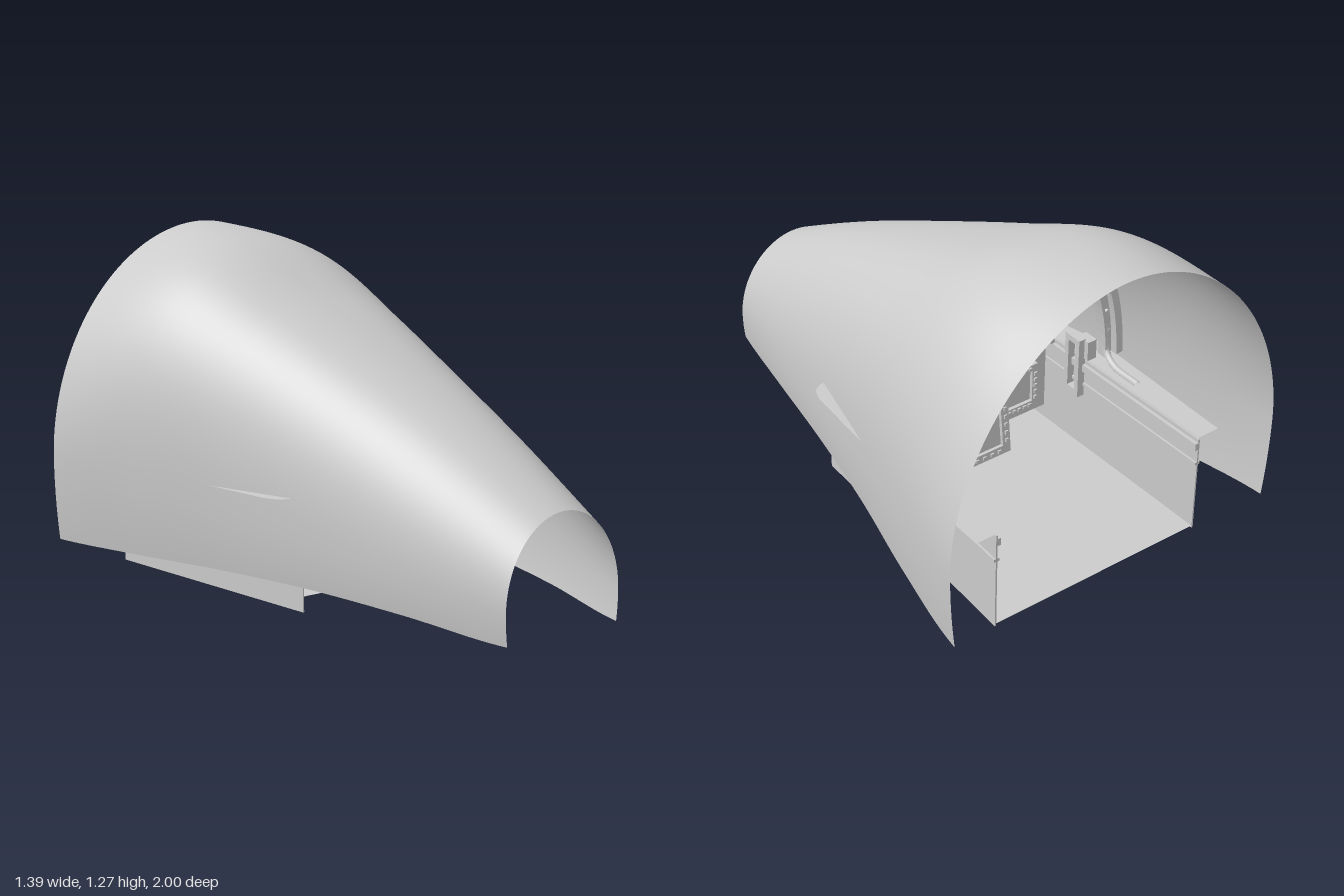
import * as THREE from 'three';
import { ParametricGeometry } from 'three/addons/geometries/ParametricGeometry.js';

const grey = new THREE.MeshStandardMaterial({ color: 0xcccccc, side: THREE.DoubleSide });

function add(parent, name, geometry, x = 0, y = 0, z = 0) {
  const mesh = new THREE.Mesh(geometry, grey);
  mesh.name = name;
  mesh.position.set(x, y, z);
  parent.add(mesh);
  return mesh;
}
const box = (parent, name, w, h, d, x, y, z) => add(parent, name, new THREE.BoxGeometry(w, h, d), x, y, z);

function group(parent, name, x = 0, y = 0, z = 0) {
  const g = new THREE.Group();
  g.name = name;
  g.position.set(x, y, z);
  parent.add(g);
  return g;
}

function extrude(points, depth, holes = []) {
  const shape = new THREE.Shape(points);
  holes.forEach((h) => shape.holes.push(new THREE.Path(h)));
  return new THREE.ExtrudeGeometry(shape, { depth, bevelEnabled: false });
}
const V = (x, y) => new THREE.Vector2(x, y);

// Thin horizontal sheet from a plan outline given as x, z
function sheet(parent, name, plan, y) {
  const mesh = add(parent, name, new THREE.ShapeGeometry(new THREE.Shape(plan.map((p) => V(p.x, -p.y)))), 0, y, 0);
  mesh.rotation.x = -Math.PI / 2;
}

// Hull dimensions at even stations; the first value lies one step ahead of the nose and only sets the slope
function track(values) {
  const curve = new THREE.SplineCurve(values.map((v, i) => V(i, v)));
  return (s) => curve.getPoint((1 + 5 * s) / 6).y;
}
const halfWidth = track([0.17, 0.26, 0.35, 0.43, 0.515, 0.615, 0.695]);
const crown = track([0.21, 0.447, 0.665, 0.855, 1.035, 1.21, 1.27]);
const sill = track([0.05, 0.033, 0.07, 0.093, 0.1, 0.1, 0.1]);
const waist = track([0.08, 0.14, 0.2, 0.26, 0.32, 0.38, 0.42]);
const fullness = track([1.9, 2, 2.15, 2.35, 2.5, 2.35, 1.93]);

// Superelliptic roof of the hull at station s and angle a, moved inwards by inset
function roofPoint(s, a, inset = 0) {
  const e = 2 / fullness(s), c = Math.cos(a), mid = waist(s);
  return V(Math.sign(c) * Math.abs(c) ** e * (halfWidth(s) - inset),
    mid + Math.max(Math.sin(a), 0) ** e * (crown(s) - mid - inset));
}

// Point on the hull section: t runs from the right sill over the crown to the left sill
function hullPoint(s, t) {
  const skirt = 0.15;
  if (t < skirt || t > 1 - skirt) {
    const k = 1 - Math.min(t, 1 - t) / skirt, mid = waist(s);
    return V((t < 0.5 ? -1 : 1) * halfWidth(s) * (1 - 0.028 * k * k), mid - (mid - sill(s)) * k);
  }
  return roofPoint(s, Math.PI * (1 - (t - skirt) / (1 - 2 * skirt)));
}

// Raised bezel frame, recessed screen and a row of keys along each edge
function display(parent, name, w, h, x, y, z) {
  const g = group(parent, name, x, y, z);
  const rect = (a, b) => [V(-a, -b), V(a, -b), V(a, b), V(-a, b)];
  add(g, 'bezel', extrude(rect(w / 2, h / 2), 0.025, [rect(w * 0.36, h * 0.36)]), 0, 0, -0.025);
  box(g, 'screen', w * 0.74, h * 0.74, 0.006, 0, 0, -0.008);
  for (let i = -2; i <= 2; i++) {
    for (const s of [-1, 1]) {
      box(g, 'key', 0.014, 0.012, 0.008, i * w * 0.14, s * h * 0.43, -0.028);
      box(g, 'key', 0.012, 0.014, 0.008, s * w * 0.43, i * h * 0.14, -0.028);
    }
  }
  return g;
}

export function createModel() {
  const model = new THREE.Group();
  model.name = 'cockpitSection';

  // Outer hull
  add(model, 'hull', new ParametricGeometry((u, v, p) => {
    const q = hullPoint(v, u);
    p.set(q.x, q.y, 1 - 2 * v);
  }, 120, 60));

  // Floor, widening to the rear
  sheet(model, 'floor', [V(-0.41, 0), V(0.41, 0), V(0.435, -0.91), V(-0.435, -0.91)], 0.01);

  for (const s of [-1, 1]) {
    const side = group(model, s > 0 ? 'leftSide' : 'rightSide');

    // Side wall, splayed outwards to the rear, with rail and ribs
    const wall = group(side, 'sideWall', s * 0.422, 0, -0.385);
    wall.rotation.y = -s * 0.033;
    box(wall, 'wallPanel', 0.006, 0.395, 1.05, 0, 0.1975, 0);
    box(wall, 'rail', 0.016, 0.03, 1.05, -s * 0.008, 0.365, 0);
    box(wall, 'rib', 0.022, 0.012, 1.05, 0, 0.29, 0);

    // Ledge with chamfered front corner
    sheet(side, 'ledge', [V(0.4, 0.12), V(0.455, 0.12), V(0.49, 0.1), V(0.507, 0.05), V(0.525, -0.25),
      V(0.525, -0.91), V(0.435, -0.91)].map((p) => V(p.x * s, p.y)), 0.405);

    // Handle frame on the wall
    const frame = [V(-0.04, -0.13), V(0.04, -0.13), V(0.04, 0.12), V(-0.04, 0.12)];
    const slot = frame.map((p) => V(p.x * 0.5, p.y * 0.8));
    add(side, 'handleFrame', extrude(frame, 0.03, [slot]), s * 0.4 - 0.015, 0.37, -0.27).rotation.y = Math.PI / 2;
    box(side, 'handleBlock', 0.04, 0.08, 0.06, s * 0.43, 0.445, -0.3);

    // Curved foot leading from the ledge into the arch
    const path = new THREE.CatmullRomCurve3([[0.46, 0.41, -0.55], [0.46, 0.415, -0.42], [0.47, 0.45, -0.36],
      [0.475, 0.54, -0.345]].map(([x, y, z]) => new THREE.Vector3(s * x, y, z)));
    add(side, 'archFoot', new THREE.TubeGeometry(path, 16, 0.014, 6));
  }

  // Canopy arch: stepped bands following the hull section, with fasteners
  const archZ = -0.34, station = (1 - archZ) / 2;
  const arch = group(model, 'canopyArch', 0, 0, archZ);
  const arc = (inset) => Array.from({ length: 49 }, (_, i) =>
    roofPoint(station, 0.07 + (Math.PI - 0.14) * i / 48, inset));
  const band = (a, b, depth) => extrude([...arc(a), ...arc(b).reverse()], depth);
  add(arch, 'outerBand', band(0.016, 0.045, 0.045), 0, 0, -0.04);
  add(arch, 'innerBand', band(0.045, 0.085, 0.02), 0, 0, -0.01);
  add(arch, 'innerLip', band(0.078, 0.088, 0.045), 0, 0, -0.03);
  arc(0.06).forEach((p, i) => {
    if (i % 2) return;
    add(arch, 'bolt', new THREE.CylinderGeometry(0.007, 0.007, 0.012, 8), p.x, p.y, -0.014).rotation.x = Math.PI / 2;
  });
  for (const a of [0.6, 1.1, Math.PI - 1.1, Math.PI - 0.6]) {
    const p = roofPoint(station, a, 0.05);
    const along = roofPoint(station, a + 0.05, 0.05).sub(p);
    box(arch, 'archGrip', 0.13, 0.025, 0.03, p.x, p.y, -0.045).rotation.z = along.angle();
  }

  // Instrument panel with a rounded top and a cowl rim
  const dash = group(model, 'instrumentPanel', 0, 0, -0.1);
  const curve = (w, h) => Array.from({ length: 33 }, (_, i) => {
    const a = Math.PI * i / 32;
    return V(Math.cos(a) * w, 0.38 + Math.sin(a) * h);
  });
  add(dash, 'panelBoard', extrude([V(-0.4, 0.075), V(0.4, 0.075), ...curve(0.4, 0.3)], 0.03));
  add(dash, 'cowl', extrude([...curve(0.41, 0.315), ...curve(0.39, 0.295).reverse()], 0.1), 0, 0, -0.04);
  for (const s of [-1, 1]) {
    display(dash, 'mainDisplay', 0.2, 0.2, s * 0.24, 0.44, 0);
    display(dash, 'lowerDisplay', 0.17, 0.19, s * 0.26, 0.21, 0);
  }
  box(dash, 'upFrontPanel', 0.2, 0.15, 0.04, 0, 0.54, -0.02);
  for (let i = 0; i < 12; i++) {
    box(dash, 'button', 0.03, 0.022, 0.012, -0.06 + (i % 4) * 0.04, 0.5 + Math.floor(i / 4) * 0.04, -0.045);
  }
  for (let i = 0; i < 6; i++) {
    const dial = add(dash, 'dial', new THREE.TorusGeometry(0.026, 0.006, 6, 20),
      -0.08 + (i % 3) * 0.08, 0.35 + Math.floor(i / 3) * 0.075, -0.004);
    dial.scale.z = 1.5;
  }

  // Sloped centre pedestal with its own display
  const pedestal = extrude([V(0, 0.076), V(0.13, 0.076), V(0.105, 0.3), V(0, 0.31)], 0.24);
  add(model, 'pedestal', pedestal, -0.12, 0, -0.1).rotation.y = Math.PI / 2;
  display(model, 'pedestalDisplay', 0.24, 0.24, 0, 0.2, -0.222).rotation.x = 0.11;

  return model;
}
